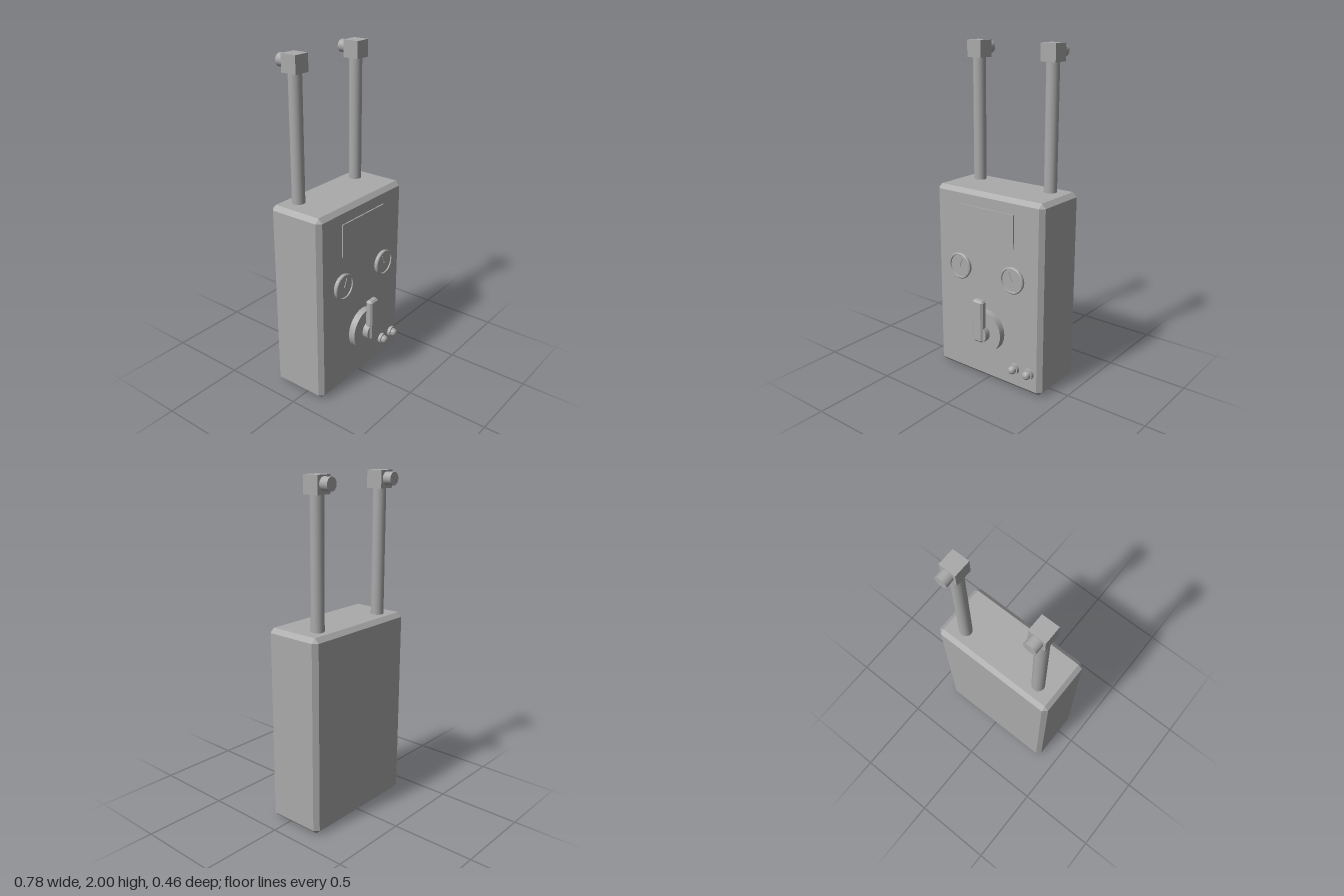
import * as THREE from 'three';
import { toCreasedNormals } from 'three/addons/utils/BufferGeometryUtils.js';
import { ConvexGeometry } from 'three/addons/geometries/ConvexGeometry.js';

const grey = new THREE.MeshStandardMaterial({ color: 0xaaaaaa });
grey.name = 'grey';

function part(parent, name, geometry, x = 0, y = 0, z = 0) {
  const mesh = new THREE.Mesh(geometry, grey);
  mesh.name = name;
  mesh.position.set(x, y, z);
  parent.add(mesh);
  return mesh;
}

// Box with all twelve edges cut at 45 degrees
function chamferedBox(w, h, d, c) {
  const points = [];
  for (const sx of [-1, 1]) for (const sy of [-1, 1]) for (const sz of [-1, 1]) {
    for (let full = 0; full < 3; full++) {
      const half = [w / 2, h / 2, d / 2].map((v, i) => (i === full ? v : v - c));
      points.push(new THREE.Vector3(sx * half[0], sy * half[1], sz * half[2]));
    }
  }
  return new ConvexGeometry(points);
}

// Turned shape whose axis points forward; profile is [radius, z] pairs
function turned(profile, segments) {
  const geometry = new THREE.LatheGeometry(profile.map(([r, z]) => new THREE.Vector2(r, z)), segments);
  geometry.rotateX(Math.PI / 2);
  return toCreasedNormals(geometry, 0.6);
}

// Cylinder lying along z
const disc = (r, depth, segments = 32) =>
  new THREE.CylinderGeometry(r, r, depth, segments).rotateX(Math.PI / 2);

export function createModel() {
  const model = new THREE.Group();
  model.name = 'controlBox';

  // Case and front label plate
  part(model, 'case', chamferedBox(0.78, 1.17, 0.36, 0.026), 0, 0.585, -0.05);
  part(model, 'labelPlate', new THREE.BoxGeometry(0.39, 0.2, 0.012), 0, 0.98, 0.132);

  for (const side of [-1, 1]) {
    // Antenna with square head and rear stub
    const antenna = new THREE.Group();
    antenna.name = side < 0 ? 'rightAntenna' : 'leftAntenna';
    antenna.position.set(side * 0.26, 0, -0.128);
    part(antenna, 'pole', new THREE.CylinderGeometry(0.038, 0.038, 0.78, 24), 0, 1.53, 0);
    part(antenna, 'head', new THREE.BoxGeometry(0.1, 0.1, 0.1), 0, 1.95, 0);
    part(antenna, 'stub', disc(0.037, 0.06, 24), 0, 1.955, -0.072);
    model.add(antenna);

    // Gauge with raised rim, sunken face and needle
    const gauge = new THREE.Group();
    gauge.name = side < 0 ? 'rightGauge' : 'leftGauge';
    gauge.position.set(side * 0.195, 0.695, 0.13);
    part(gauge, 'rim', turned(
      [[0.076, 0], [0.076, 0.01], [0.081, 0.014], [0.081, 0.02], [0.076, 0.025],
        [0.07, 0.025], [0.068, 0.018], [0, 0.018]], 32));
    part(gauge, 'pin', disc(0.005, 0.008, 12), 0, 0, 0.02);
    const needle = new THREE.BoxGeometry(0.004, 0.055, 0.004).translate(0, 0.0275, 0);
    part(gauge, 'needle', needle, 0, 0, 0.02).rotation.z = side * 0.4;
    model.add(gauge);
  }

  // Rotary switch: base plate, hub and lever
  const dial = new THREE.Group();
  dial.name = 'rotarySwitch';
  dial.position.set(0, 0.328, 0);
  part(dial, 'dialPlate', disc(0.129, 0.045), 0, 0, 0.1485);
  part(dial, 'hub', disc(0.057, 0.037), 0, 0, 0.197);
  part(dial, 'lever', chamferedBox(0.076, 0.264, 0.046, 0.011), 0, 0.085, 0.205);
  model.add(dial);

  // Pair of indicator lamps
  for (const x of [0.207, 0.311]) {
    const lamp = new THREE.Group();
    lamp.name = 'indicatorLamp';
    lamp.position.set(x, 0.135, 0.13);
    part(lamp, 'socket', disc(0.034, 0.02, 16), 0, 0, 0.01);
    const dome = [[0.025, 0.018], [0.025, 0.027]];
    for (let i = 1; i <= 4; i++) {
      const a = i * Math.PI / 8;
      dome.push([i === 4 ? 0 : 0.025 * Math.cos(a), 0.027 + 0.024 * Math.sin(a)]);
    }
    part(lamp, 'dome', turned(dome, 16));
    model.add(lamp);
  }

  return model;
}
